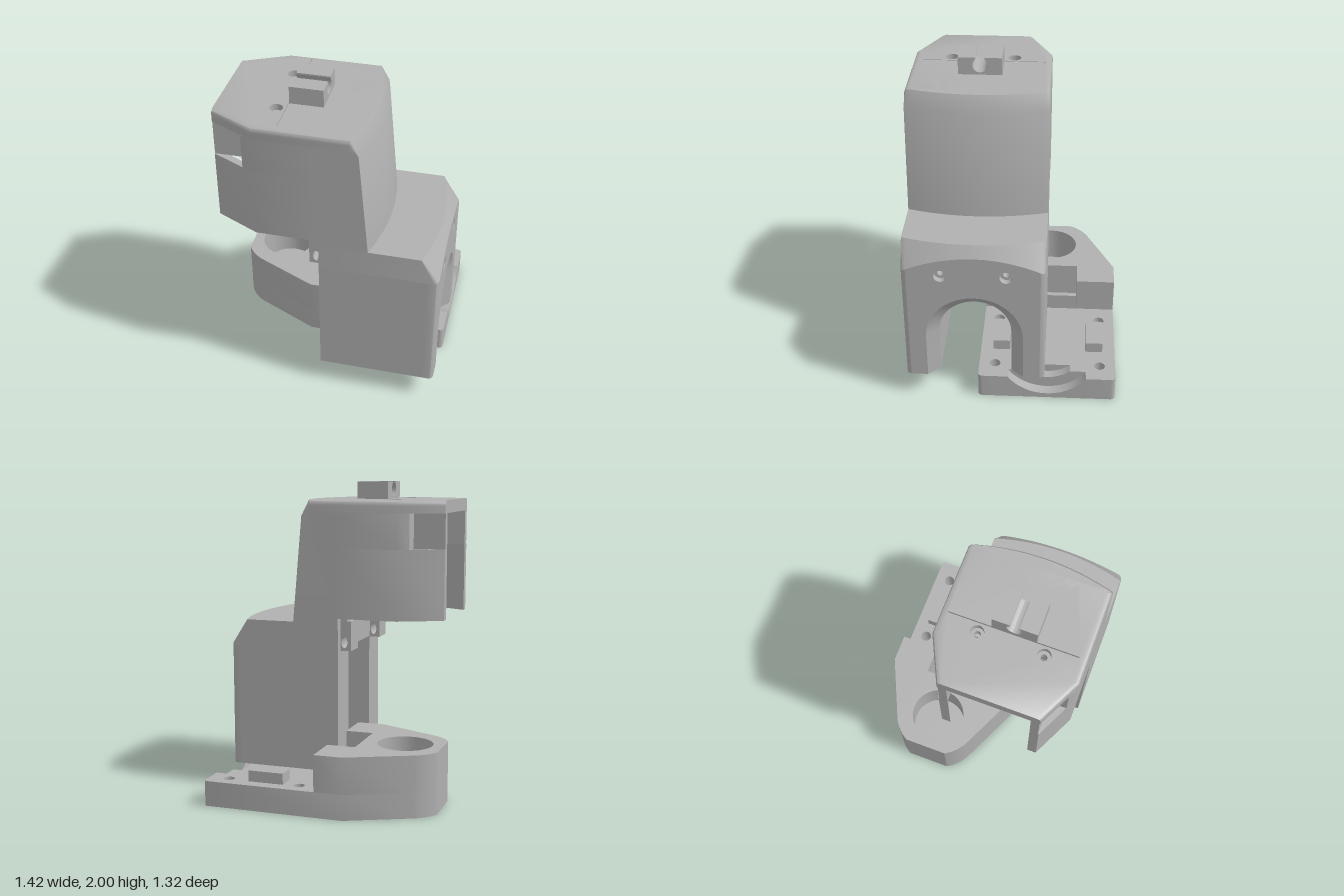
import * as THREE from 'three';
import { toCreasedNormals } from 'three/addons/utils/BufferGeometryUtils.js';

const CZ = 0.225;   // the housing is centred on +CZ, the base on -CZ
const HW = 0.435;   // half width of both

export function createModel() {
  const group = new THREE.Group();
  const grey = new THREE.MeshStandardMaterial({ color: 0xb0b0b0, side: THREE.DoubleSide });
  grey.name = 'grey plastic';

  const add = (name, geo, z = 0) => {
    const mesh = new THREE.Mesh(toCreasedNormals(geo, 0.5), grey);
    mesh.name = name;
    mesh.position.z = z;
    group.add(mesh);
    return mesh;
  };
  const poly = (pts) => new THREE.Shape(pts.map(([a, b]) => new THREE.Vector2(a, b)));
  const rect = (a0, a1, b0, b1) => poly([[a0, b0], [a1, b0], [a1, b1], [a0, b1]]);
  const circle = (a, b, r) => new THREE.Path().absarc(a, b, r, 0, Math.PI * 2);
  // shape in (x, z), raised from y0 to y1
  const upright = (shape, y0, y1, steps = 1) => new THREE.ExtrudeGeometry(shape,
    { depth: y1 - y0, bevelEnabled: false, curveSegments: 20, steps }).rotateX(Math.PI / 2).translate(0, y1, 0);
  // shape in (-z, y), run from x0 to x1
  const along = (shape, x0, x1) => new THREE.ExtrudeGeometry(shape,
    { depth: x1 - x0, bevelEnabled: false, curveSegments: 20 }).rotateY(Math.PI / 2).translate(x0, 0, 0);
  // skin over rings of [x, y, z], with optional end caps in (x, y)
  const loft = (rings, caps) => {
    const n = rings[0].length, index = [];
    for (let r = 0; r < rings.length - 1; r++) {
      for (let i = 0; i < n; i++) {
        const a = r * n + i, b = r * n + (i + 1) % n;
        index.push(a, b, b + n, a, b + n, a + n);
      }
    }
    if (caps) {
      const flat = rings[0].map((p) => new THREE.Vector2(p[0], p[1]));
      const last = (rings.length - 1) * n;
      for (const [a, b, c] of THREE.ShapeUtils.triangulateShape(flat, [])) {
        index.push(a, c, b, last + a, last + b, last + c);
      }
    }
    const geo = new THREE.BufferGeometry();
    geo.setAttribute('position', new THREE.Float32BufferAttribute(rings.flat(2), 3));
    geo.setIndex(index);
    return geo.toNonIndexed();
  };

  // ---------- Base ----------
  const taper = (s, side) => side > 0
    ? s.lineTo(-0.2, HW).lineTo(-0.6, 0.25).quadraticCurveTo(-0.67, 0.21, -0.71, 0.14)
    : s.lineTo(-0.71, -0.14).quadraticCurveTo(-0.67, -0.21, -0.6, -0.25).lineTo(-0.2, -HW);

  const slab = new THREE.Shape().moveTo(0.68, -HW).quadraticCurveTo(0.71, -HW, 0.71, -HW + 0.03)
    .lineTo(0.71, -0.25).lineTo(0.58, -0.25).lineTo(0.58, 0.25).lineTo(0.71, 0.25)
    .lineTo(0.71, HW - 0.03).quadraticCurveTo(0.71, HW, 0.68, HW);
  taper(slab, 1);
  taper(slab, -1);
  slab.holes.push(rect(-0.165, -0.02, -0.185, 0.185));
  for (const x of [0.11, 0.58]) for (const z of [-0.335, 0.335]) slab.holes.push(circle(x, z, 0.035));
  add('baseSlab', upright(slab, 0, 0.16), -CZ);

  // stepped half-round seat at the end of the slab
  for (const [r, x0, x1] of [[0.228, 0.58, 0.64], [0.303, 0.64, 0.71]]) {
    const a = Math.asin((0.335 - 0.16) / r);
    const seat = new THREE.Shape().moveTo(-0.25, 0).lineTo(0.25, 0).lineTo(0.25, 0.16)
      .absarc(0, 0.335, r, -a, a - Math.PI, true).lineTo(-0.25, 0.16);
    add('shaftSeat', along(seat, x0, x1), -CZ);
  }

  const block = new THREE.Shape().moveTo(-0.02, -HW).lineTo(-0.02, -0.185).lineTo(-0.2, -0.185)
    .lineTo(-0.2, 0.185).lineTo(-0.02, 0.185).lineTo(-0.02, HW);
  taper(block, 1);
  taper(block, -1);
  block.holes.push(circle(-0.47, 0, 0.175));
  add('baseBlock', upright(block, 0.16, 0.39), -CZ);
  for (const s of [-1, 1]) add('locatingTab', new THREE.BoxGeometry(0.23, 0.07, 0.11).translate(0.325, 0.195, s * 0.3), -CZ);

  // ---------- Housing column ----------
  const topY = (z) => 1.05 - 0.1 * (z / HW) ** 2;
  const crown = (hw) => Array.from({ length: 21 }, (_, i) => { const z = hw * (i / 10 - 1); return [z, topY(z)]; });
  const arch = (r) => Array.from({ length: 25 }, (_, i) => {
    const a = Math.PI * i / 24;
    return [r * Math.cos(a), 0.465 + r * Math.sin(a)];
  });
  const section = (hw, r, foot) => [[-hw, foot], ...crown(hw), [hw, foot], [r, foot], ...arch(r), [-r, foot]];

  // feet with bolt holes and tab sockets
  for (const s of [-1, 1]) {
    const foot = rect(-0.02, 0.64, s * 0.225, s * HW);
    foot.holes.push(circle(0.11, s * 0.335, 0.035), circle(0.58, s * 0.335, 0.035),
      rect(0.21, 0.44, s * 0.245, s * 0.355));
    add('columnFoot', upright(foot, 0.16, 0.4), CZ);
  }
  // hollow part of the column, open to the back
  const hollow = poly([[-HW, 0.4], ...crown(HW), [HW, 0.4], [0.225, 0.4], [0.225, 0.945], [-0.225, 0.945], [-0.225, 0.4]]);
  add('columnBody', along(hollow, -0.02, 0.58), CZ);

  const boltZ = [-0.198, 0.198];
  const wall = poly(section(HW, 0.225, 0.4));
  for (const z of boltZ) wall.holes.push(circle(z, 0.92, 0.02));
  add('columnEndWall', along(wall, 0.58, 0.64), CZ);

  // end face with rounded corners and a chamfered arch
  const stations = [[0.64, HW, 0.225], [0.68, HW, 0.268], [0.695, 0.431, 0.284], [0.705, 0.421, 0.295], [0.71, 0.405, 0.3]];
  add('archChamfer', loft(stations.map(([x, hw, r]) => section(hw, r, 0.16).map(([z, y]) => [x, y, z]))), CZ);
  const face = poly(section(0.405, 0.3, 0.16));
  for (const z of boltZ) face.holes.push(circle(z, 0.92, 0.04));
  add('endFace', new THREE.ShapeGeometry(face, 20).rotateY(Math.PI / 2).translate(0.71, 0, 0), CZ);
  for (const z of boltZ) {
    const bore = [[0.04, 0.71], [0.04, 0.67], [0.02, 0.67], [0.02, 0.64]].map(([r, h]) => new THREE.Vector2(r, h));
    add('boltBore', new THREE.LatheGeometry(bore, 20).rotateZ(-Math.PI / 2).translate(0, 0.92, z), CZ);
  }

  // ---------- Bowed surfaces, lofted across the width ----------
  const ts = [-1, -0.995, -0.98, -0.96, -0.93];
  for (let i = -8; i <= 8; i++) ts.push(i / 10);
  ts.push(0.93, 0.96, 0.98, 0.995, 1);
  const round = (t) => { const k = Math.max(0, (Math.abs(t) - 0.93) / 0.07); return 0.03 * (1 - Math.sqrt(Math.max(0, 1 - k * k))); };
  const bow = (t) => 0.065 * (1 - t * t);
  const across = (profile) => loft(ts.map((t) => profile(t).map(([x, y]) => [x, y, t * HW])), true);

  add('columnShoulder', across((t) => {
    const y = topY(t * HW), x = 0.71 - round(t);
    return [[-0.02, y], [x, y], [0.6 + bow(t), 1.12], [-0.02, 1.12]];
  }), CZ);
  add('headFront', across((t) => {
    const b = bow(t), top = 1.89 - round(t);
    return [[-0.02, 1.12], [0.28 + b, 1.12], [0.22 + b, 1.79], [0.17 + b, top], [0.17, top], [0.17, 1.81], [-0.02, 1.81]];
  }), CZ);

  // ---------- Head ----------
  const lid = poly([[0.17, -HW], [0.17, HW], [-0.4, HW], [-0.67, 0.305], [-0.67, -0.305], [-0.4, -HW]]);
  lid.holes.push(rect(-0.261, -0.255, -0.395, 0.385));
  const screws = [-0.315, 0.16].flatMap((x) => [-0.198, 0.198].map((z) => [x, z]));
  for (const [x, z] of screws) lid.holes.push(circle(x, z, 0.04));
  const lidGeo = upright(lid, 1.81, 1.89, 8);
  const p = lidGeo.attributes.position;
  for (let i = 0; i < p.count; i++) {       // round the long top edges
    const z = p.getZ(i), h = Math.max(0, p.getY(i) - 1.86);
    const outer = Math.abs(z) > 0.3 && (Math.abs(z) > 0.4 || p.getX(i) < -0.6);
    if (outer && Math.abs(p.getX(i) + 0.258) > 0.01) {
      p.setZ(i, z - Math.sign(z) * (0.03 - Math.sqrt(Math.max(0, 0.0009 - h * h))));
    }
  }
  add('headLid', lidGeo, CZ);
  for (const [x, z] of screws) {
    const ring = new THREE.Shape().absarc(x, z, 0.04, 0, Math.PI * 2);
    ring.holes.push(circle(x, z, 0.02));
    add('screwSeat', upright(ring, 1.81, 1.85), CZ);
  }

  for (const s of [-1, 1]) {
    const side = (pts) => poly(pts.map(([x, z]) => [x, s * z]));
    const inner = [[-0.02, 0.385], [-0.41, 0.385]];
    add('headSideWall', upright(side([[-0.67, 0.305], [-0.4, HW], [-0.02, HW], ...inner, [-0.67, 0.25]]), 1.15, 1.59), CZ);
    // upper wall, notched by the side recess
    add('headRecessWall', upright(side([[-0.67, 0.3], [-0.47, 0.3], [-0.47, 0.402], [-0.4, HW], [-0.02, HW],
      ...inner, [-0.47, 0.25], [-0.67, 0.25]]), 1.59, 1.81), CZ);

    // pierced lug under the head
    const lug = poly([[-0.09, 0.94], [-0.015, 0.94], [-0.015, 1.15], [-0.065, 1.15], [-0.065, 1.13], [-0.09, 1.13]]);
    lug.holes.push(new THREE.Path().absellipse(-0.047, 0.995, 0.02, 0.037, 0, Math.PI * 2));
    add('hingeLug', new THREE.ExtrudeGeometry(lug, { depth: 0.15, bevelEnabled: false })
      .translate(0, 0, s > 0 ? 0.235 : -0.385), CZ);
  }

  // cable clip with a keyhole slot
  const a = Math.acos(0.028 / 0.047);
  const clip = new THREE.Shape().moveTo(-0.135, 1.88).lineTo(0.135, 1.88).lineTo(0.135, 2).lineTo(0.028, 2)
    .absarc(0, 1.952, 0.047, a, Math.PI - a, true).lineTo(-0.028, 2).lineTo(-0.135, 2);
  add('cableClip', along(clip, -0.255, -0.05), CZ);

  return group;
}
